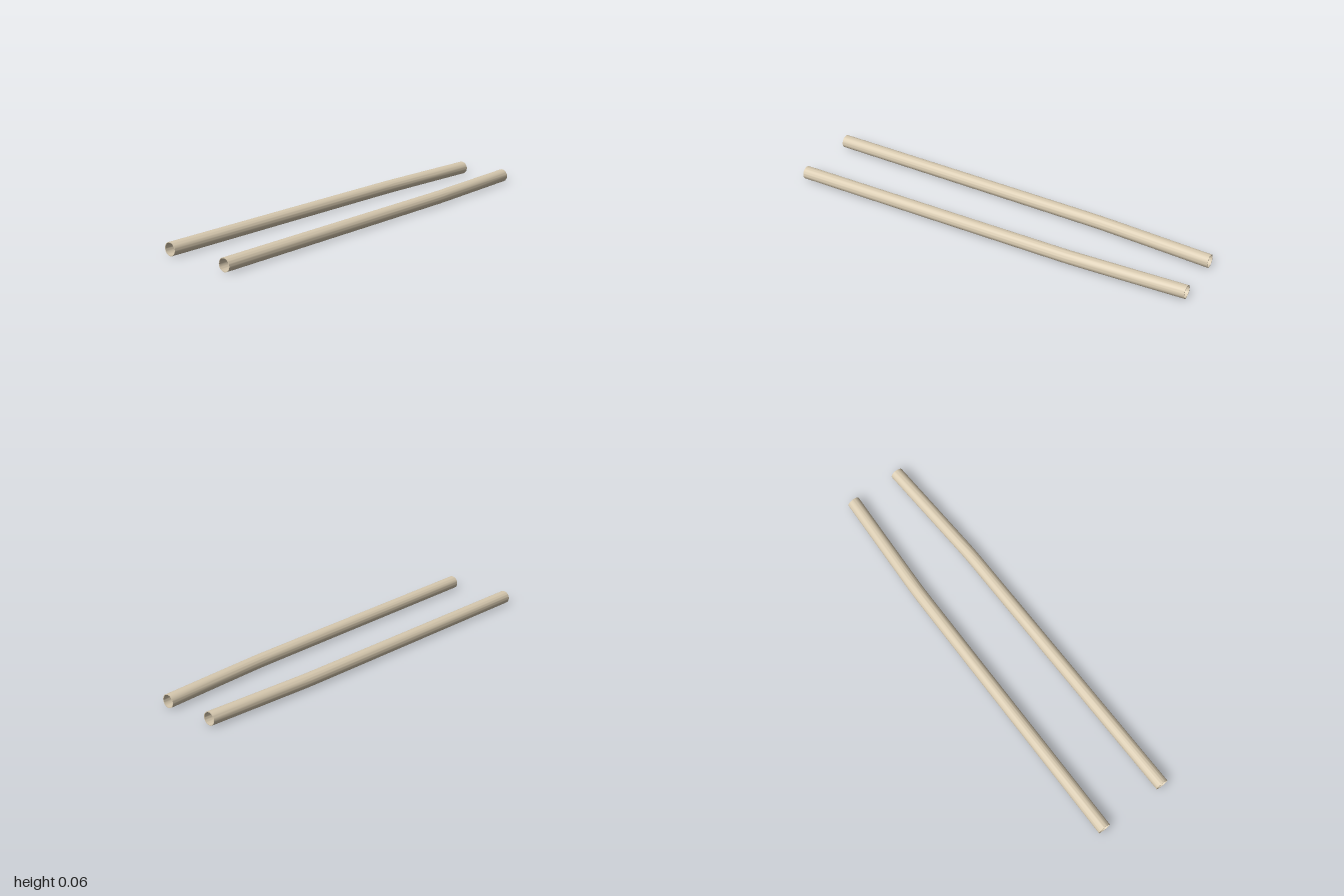
import * as THREE from 'three';
import { toCreasedNormals } from 'three/addons/utils/BufferGeometryUtils.js';

const OUTER = 0.0315, INNER = 0.0285;

// Centre line of one rail as [x, distance from the middle]; both converge towards +x
const PATH = [
  [-1, 0.167], [-0.5, 0.1635], [0, 0.16], [0.38, 0.157],
  [0.44, 0.156], [0.5, 0.1535], [0.75, 0.1415], [1, 0.129],
];

function offsetAt(x) {
  for (let i = 1; i < PATH.length; i++) {
    const [x0, z0] = PATH[i - 1], [x1, z1] = PATH[i];
    if (x <= x1 + 1e-5) return z0 + (z1 - z0) * (x - x0) / (x1 - x0);
  }
  return PATH[PATH.length - 1][1];
}

// Hollow, open-ended pipe along x, sheared sideways to follow the bent path
function pipeGeometry(side) {
  const outer = PATH.map(([x]) => new THREE.Vector2(OUTER, x));
  const inner = PATH.map(([x]) => new THREE.Vector2(INNER, x)).reverse();
  const geometry = new THREE.LatheGeometry([...outer, ...inner, outer[0].clone()], 32);
  geometry.rotateZ(-Math.PI / 2);
  const p = geometry.attributes.position;
  for (let i = 0; i < p.count; i++) {
    p.setZ(i, p.getZ(i) + side * offsetAt(p.getX(i)));
  }
  geometry.translate(0, OUTER, 0);
  return toCreasedNormals(geometry, 0.7);
}

export function createModel() {
  const model = new THREE.Group();
  model.name = 'pipePair';
  const material = new THREE.MeshStandardMaterial({ color: 0xd8cab0 });

  // Mirrored pair of pipes
  for (const [name, side] of [['frontPipe', 1], ['backPipe', -1]]) {
    const pipe = new THREE.Mesh(pipeGeometry(side), material);
    pipe.name = name;
    model.add(pipe);
  }
  return model;
}
